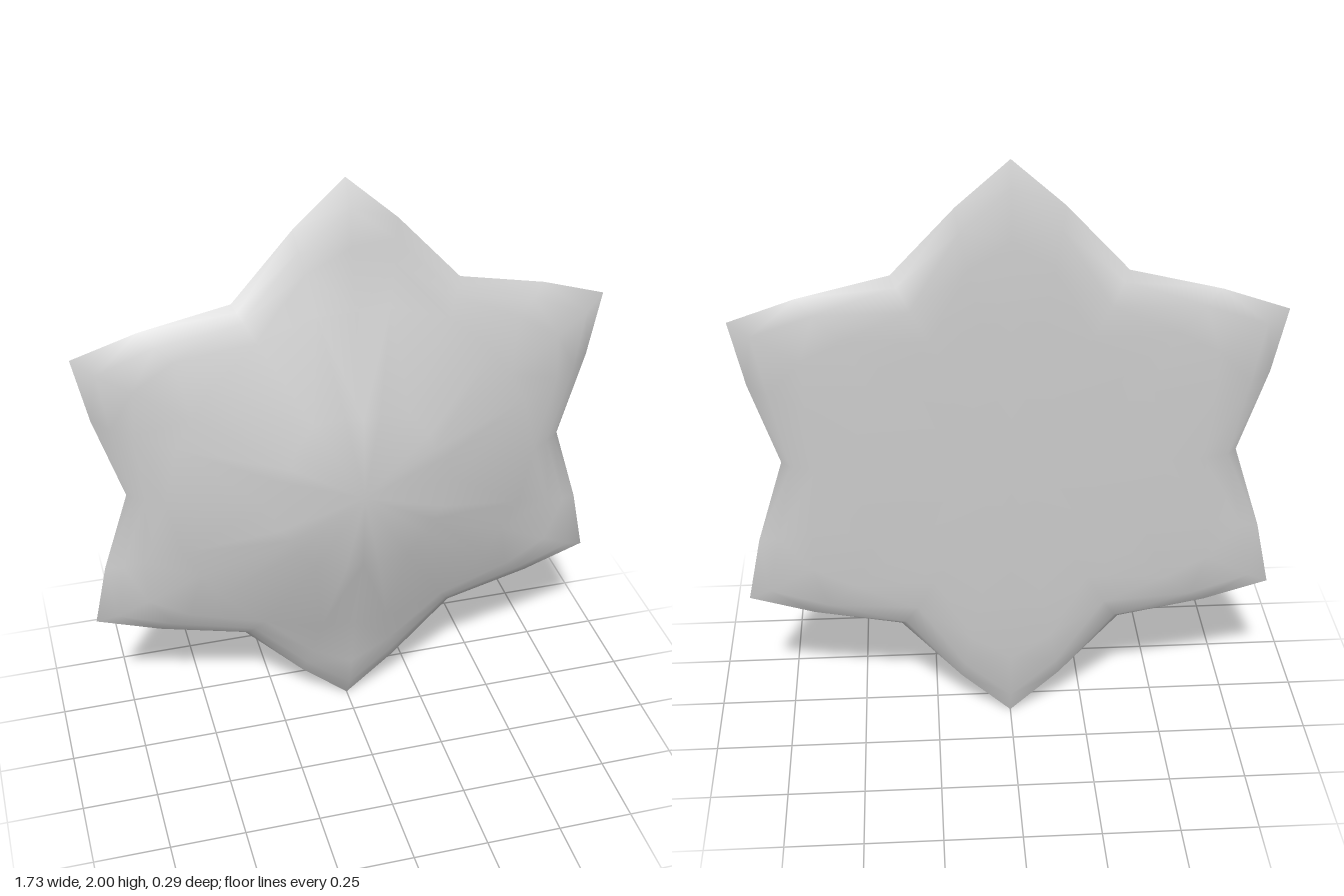
import * as THREE from 'three';

// Three radial profiles [radius, z], from the centre out: along a point, along its flank, along a notch
const FRONT = {
  tip: [[0.27, 0.125], [0.6, 0.01], [0.8, -0.025], [0.92, -0.053], [1, -0.095]],
  flank: [[0.29, 0.118], [0.61, 0.01], [0.74, -0.03], [0.81, -0.053], [0.868, -0.088]],
  notch: [[0.31, 0.11], [0.62, 0.01], [0.68, -0.03], [0.71, -0.05], [0.732, -0.075]],
};
const BACK = {
  tip: [[0.27, -0.141], [0.5, -0.137], [0.75, -0.131], [0.92, -0.117], [1, -0.095]],
  flank: [[0.29, -0.141], [0.5, -0.138], [0.68, -0.133], [0.8, -0.117], [0.868, -0.088]],
  notch: [[0.31, -0.141], [0.5, -0.138], [0.62, -0.133], [0.7, -0.11], [0.732, -0.075]],
};

// Spokes of one star point, repeated six times
const SPOKES = [[0, 'tip'], [11, 'flank'], [30, 'notch'], [49, 'flank']];

function starFace(profiles, centreZ, facesFront) {
  const spokes = [];
  for (let p = 0; p < 6; p++) {
    for (const [deg, kind] of SPOKES) {
      spokes.push({ angle: THREE.MathUtils.degToRad(p * 60 + deg), profile: profiles[kind] });
    }
  }
  const n = spokes.length;
  const rings = profiles.tip.length;
  const positions = [0, 1, centreZ];
  for (let r = 0; r < rings; r++) {
    for (const { angle, profile } of spokes) {
      const [radius, z] = profile[r];
      positions.push(Math.sin(angle) * radius, 1 + Math.cos(angle) * radius, z);
    }
  }
  const index = [];
  const tri = (a, b, c) => (facesFront ? index.push(a, c, b) : index.push(a, b, c));
  for (let i = 0; i < n; i++) {
    const j = (i + 1) % n;
    tri(0, 1 + i, 1 + j);
    for (let r = 0; r < rings - 1; r++) {
      const a = 1 + r * n + i, b = 1 + r * n + j;
      // diagonals mirror about each spoke pair so every point is symmetric
      if (i % 2 === 0) {
        tri(a, a + n, b + n);
        tri(a, b + n, b);
      } else {
        tri(a, a + n, b);
        tri(b, a + n, b + n);
      }
    }
  }
  const geometry = new THREE.BufferGeometry();
  geometry.setAttribute('position', new THREE.Float32BufferAttribute(positions, 3));
  geometry.setIndex(index);
  geometry.computeVertexNormals();
  return geometry;
}

export function createModel() {
  const group = new THREE.Group();
  group.name = 'star';
  const material = new THREE.MeshStandardMaterial({ color: 0xcccccc });

  // Domed front, meeting the back at a sharp rim
  const front = new THREE.Mesh(starFace(FRONT, 0.143, true), material);
  front.name = 'domedFront';

  // Nearly flat back
  const back = new THREE.Mesh(starFace(BACK, -0.143, false), material);
  back.name = 'flatBack';

  group.add(front, back);
  return group;
}
